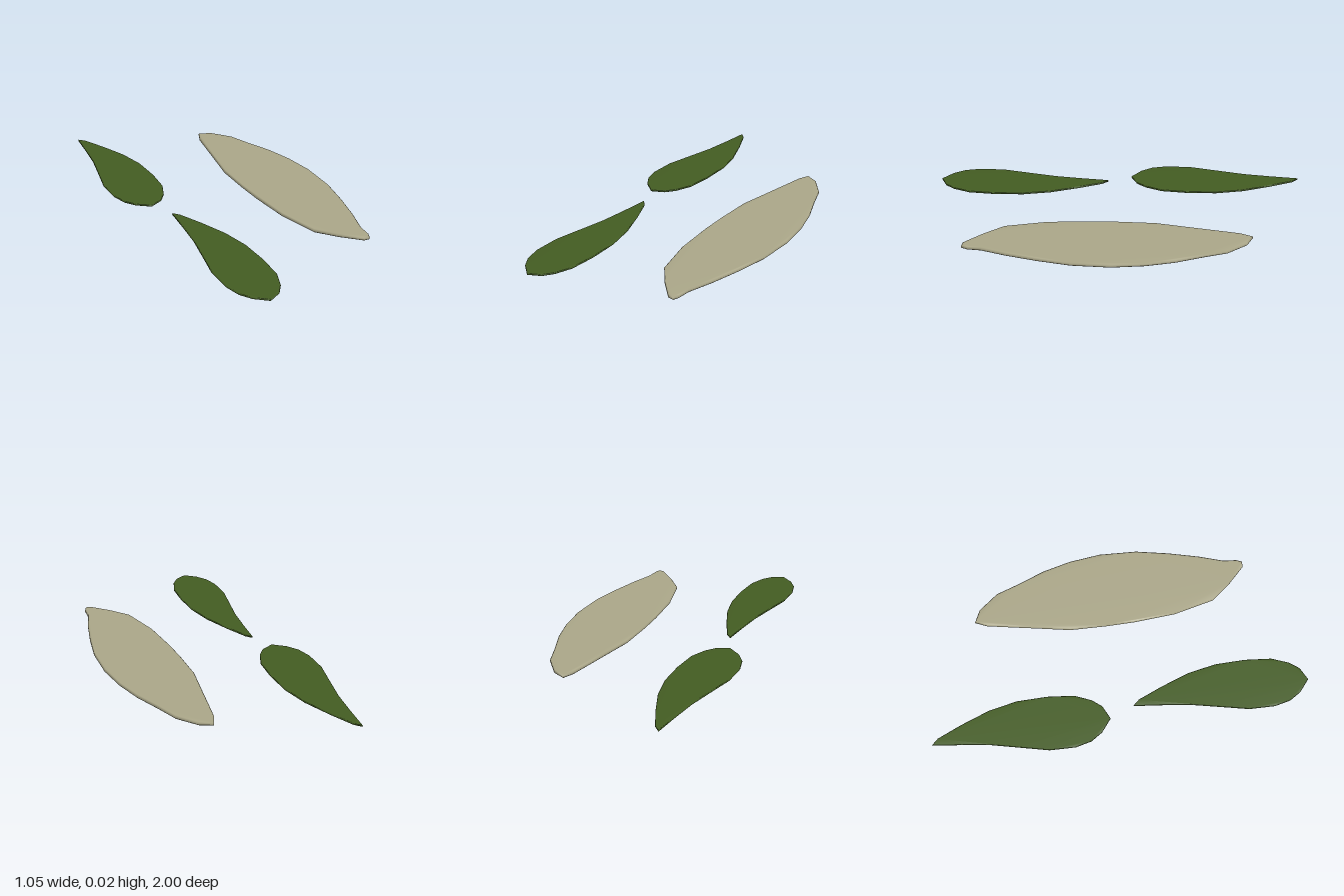
import * as THREE from 'three';
import { mergeVertices } from 'three/addons/utils/BufferGeometryUtils.js';

// Outlines as [x, z]; the leaf outline starts at its tip
const PETAL = [
  [0.255, -0.68], [0.32, -0.645], [0.395, -0.54], [0.43, -0.42], [0.48, -0.27], [0.51, -0.12],
  [0.522, 0.05], [0.503, 0.25], [0.46, 0.42], [0.41, 0.58], [0.36, 0.71], [0.35, 0.78],
  [0.335, 0.81], [0.305, 0.805], [0.22, 0.71], [0.145, 0.605], [0.105, 0.385], [0.1, 0.16],
  [0.105, 0.015], [0.12, -0.185], [0.165, -0.37], [0.19, -0.475], [0.225, -0.62],
];
const LEAF = [
  [0, 0], [0.03, 0.035], [0.08, 0.165], [0.13, 0.32], [0.153, 0.47], [0.148, 0.63],
  [0.127, 0.77], [0.085, 0.857], [0.042, 0.905], [-0.03, 0.935], [-0.095, 0.878],
  [-0.132, 0.815], [-0.148, 0.73], [-0.138, 0.593], [-0.095, 0.444], [-0.053, 0.296], [-0.026, 0.153],
];

// Thin slab lying on y = 0, with a soft edge and smooth normals
function slab(name, outline, height, material) {
  const bevel = height * 0.25;
  const shape = new THREE.Shape(outline.map(([x, z]) => new THREE.Vector2(x, z)));
  let geometry = new THREE.ExtrudeGeometry(shape, {
    depth: height - 2 * bevel,
    bevelThickness: bevel,
    bevelSize: bevel,
    bevelOffset: -bevel,
    bevelSegments: 1,
  });
  geometry.rotateX(Math.PI / 2).translate(0, height - bevel, 0);
  geometry.deleteAttribute('normal');
  geometry.deleteAttribute('uv');
  geometry.clearGroups();
  geometry = mergeVertices(geometry, 1e-5);
  geometry.computeVertexNormals();
  const mesh = new THREE.Mesh(geometry, material);
  mesh.name = name;
  return mesh;
}

export function createModel() {
  const cream = new THREE.MeshStandardMaterial({ color: 0xaaa688 });
  cream.name = 'cream';
  const green = new THREE.MeshStandardMaterial({ color: 0x435c22 });
  green.name = 'leaf green';

  const model = new THREE.Group();
  model.name = 'petalAndLeaves';
  model.add(slab('petal', PETAL, 0.02, cream));

  // Two leaves in a row, the front one slightly narrower
  const leaves = [
    { name: 'backLeaf', x: -0.375, z: -1, width: 1 },
    { name: 'frontLeaf', x: -0.36, z: 0.065, width: 0.94 },
  ];
  for (const { name, x, z, width } of leaves) {
    const leaf = slab(name, LEAF.map(([px, pz]) => [px * width, pz]), 0.011, green);
    leaf.position.set(x, 0, z);
    model.add(leaf);
  }
  return model;
}
